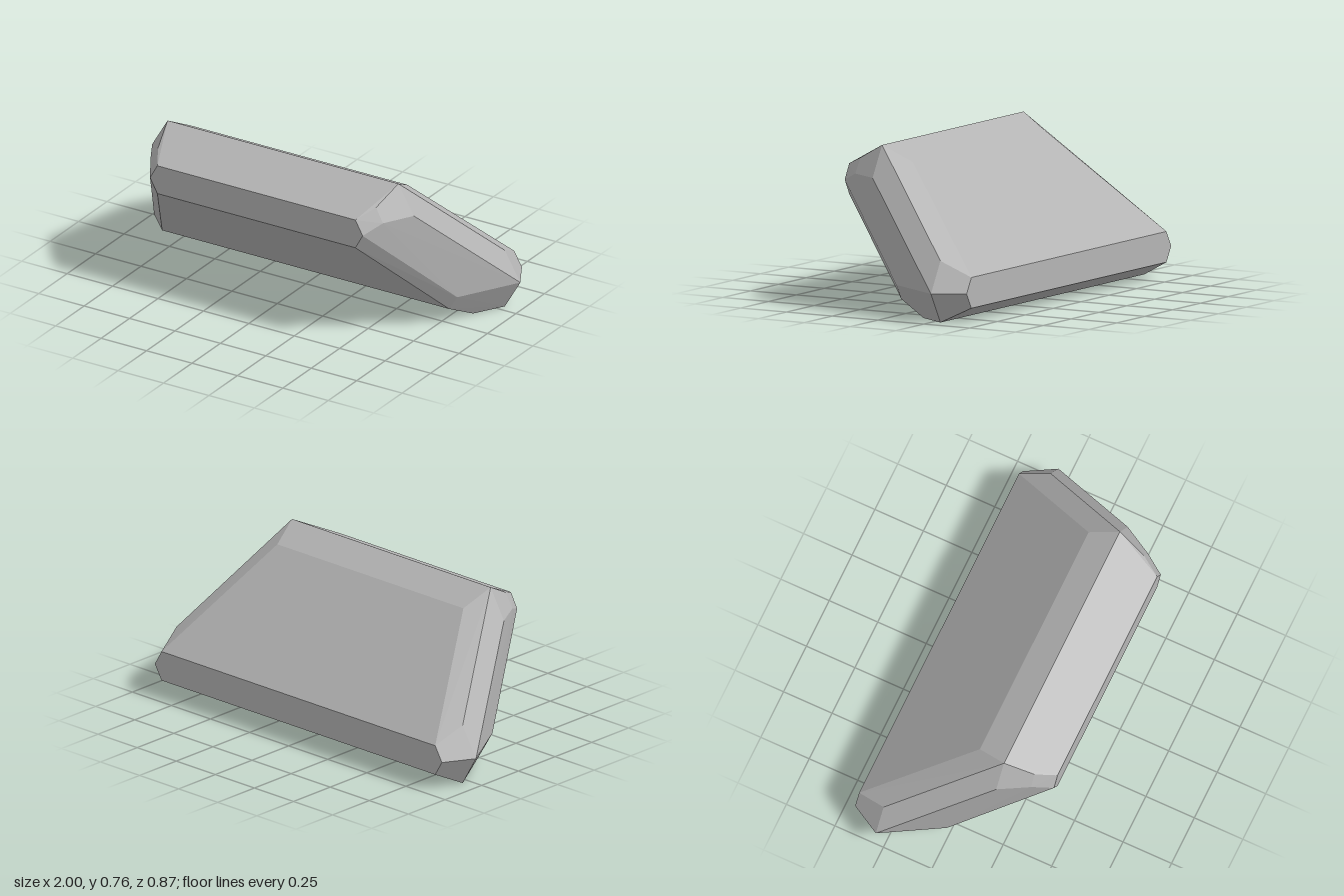
import * as THREE from 'three';
import { ConvexGeometry } from 'three/addons/geometries/ConvexGeometry.js';

// Slanted, chamfered slab: a convex solid mirrored across x = 0
export function createModel() {
  const group = new THREE.Group();
  group.name = 'chamferedSlab';

  const stone = new THREE.MeshStandardMaterial({ color: 0xb4b4b4 });
  stone.name = 'stone grey';

  const corners = [
    // upper front rim
    [0.635, 0.765, 0.2], [0.6, 0.69, 0.34], [0.545, 0.65, 0.434],
    [0.585, 0.578, 0.434], [0.545, 0.506, 0.434],
    // upper back rim
    [0.595, 0.69, 0.057],
    // slanted side face
    [0.72, 0.62, 0.2], [0.64, 0.62, 0.343], [0.834, 0.145, 0], [1, 0.145, -0.289],
    // lower front and underside
    [0.79, 0.073, 0], [0.83, 0, -0.145], [0.915, 0, -0.289],
    // lower back end
    [0.915, 0.29, -0.289], [0.875, 0.073, -0.434],
    [0.918, 0.145, -0.434], [0.875, 0.218, -0.434],
  ];
  const points = [];
  for (const side of [1, -1]) {
    for (const [x, y, z] of corners) points.push(new THREE.Vector3(side * x, y, z));
  }

  const slab = new THREE.Mesh(new ConvexGeometry(points), stone);
  slab.name = 'slab';
  group.add(slab);
  return group;
}
